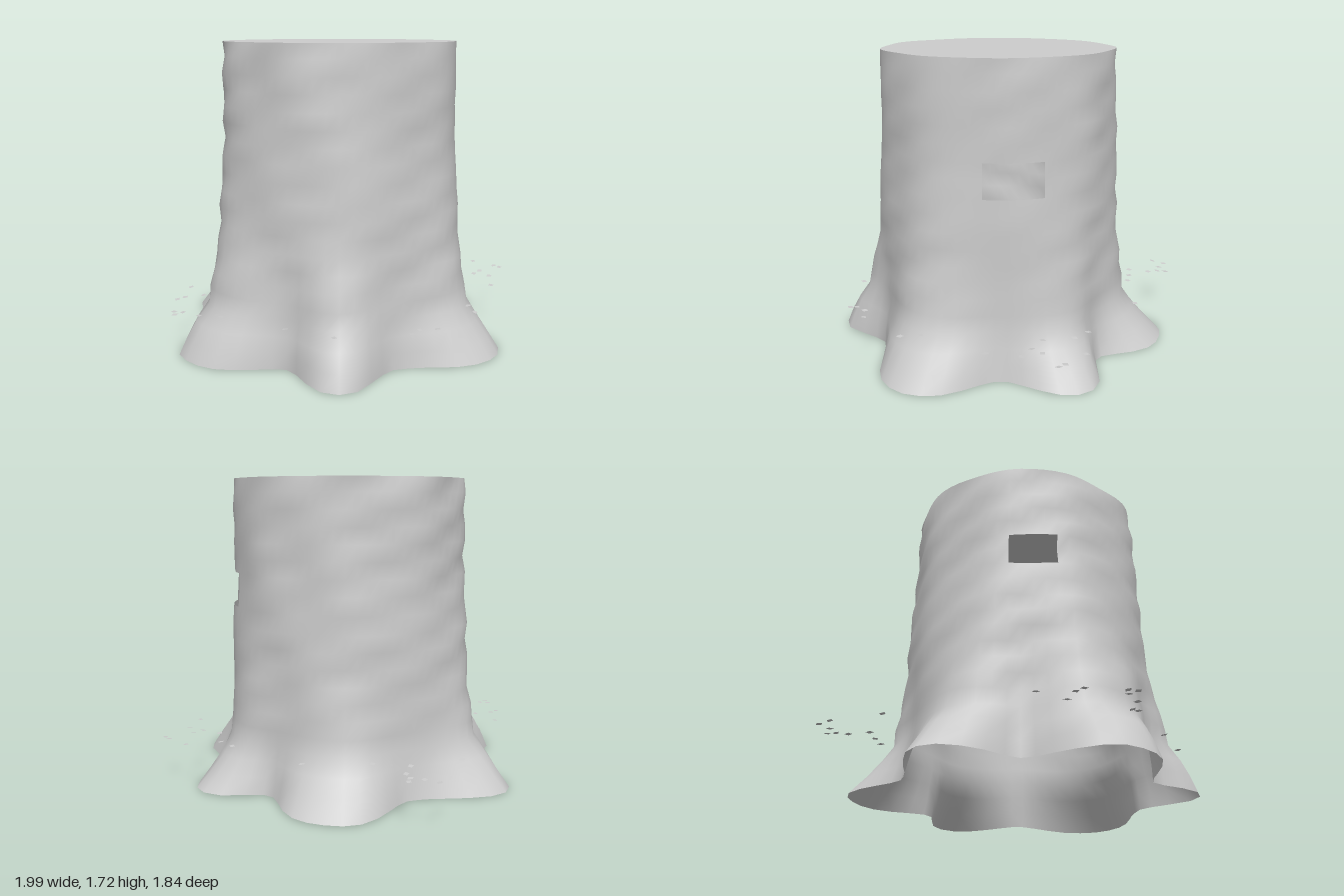
import * as THREE from 'three';

const COLUMNS = 64;
const ROWS = [0, 0.09, 0.18, 0.27, 0.36, 0.45, 0.54, 0.63, 0.72, 0.81, 0.9, 1.0, 1.1, 1.19, 1.28, 1.37, 1.46, 1.55, 1.64, 1.72];

// Outline of the root flare on the ground (x, z)
const ROOTS = [
  1, 0.11, 0.96, 0.24, 0.87, 0.33, 0.74, 0.4, 0.62, 0.45, 0.52, 0.53, 0.48, 0.65, 0.47, 0.78,
  0.43, 0.88, 0.32, 0.93, 0.2, 0.88, 0.1, 0.79, 0, 0.74, -0.1, 0.77, -0.25, 0.85, -0.41, 0.89,
  -0.55, 0.85, -0.65, 0.78, -0.69, 0.66, -0.68, 0.55, -0.64, 0.36, -0.65, 0.24, -0.78, 0.19,
  -0.9, 0.12, -0.99, 0.01, -1, -0.09, -0.93, -0.2, -0.8, -0.28, -0.65, -0.36, -0.55, -0.43,
  -0.51, -0.55, -0.5, -0.7, -0.43, -0.86, -0.35, -0.9, -0.21, -0.93, -0.08, -0.9, 0, -0.84,
  0.08, -0.75, 0.16, -0.67, 0.25, -0.69, 0.38, -0.78, 0.52, -0.79, 0.64, -0.71, 0.65, -0.6,
  0.645, -0.42, 0.64, -0.3, 0.75, -0.22, 0.93, -0.09, 0.98, 0,
];

// Missing patches of bark: column and row ranges
const HOLES = [
  { c0: 56, c1: 61, y0: 1.0, y1: 1.19 },
  { c0: 25, c1: 29, y0: 1.1, y1: 1.28 },
];

// Loose wood chips around the trunk (x, z)
const CHIPS = [
  -0.69, -0.83, -0.83, -0.78, -0.75, -0.77, -0.68, -0.78, -0.64, -0.73, -0.85, -0.7, -0.62, -0.61,
  -0.83, -0.4, -0.43, -0.66, -0.1, -0.81, 0.39, -0.7, 0.49, -0.66, 0.59, -0.52, 0.64, -0.78,
  0.79, -0.73, 0.83, -0.71, 0.73, -0.58, 0.71, -0.51, 0.81, -0.5, 0.86, -0.32, 0.82, 0.09,
  0.88, 0.18, 0.76, 0.5, 0.68, 0.55, 0.66, 0.62, 0.68, 0.65, 0.31, 0.82, 0.03, 0.81,
  -0.49, 0.81, -0.4, 0.76, -0.37, 0.78, -0.65, 0.81, -0.6, 0.8, -0.62, 0.85, -0.65, 0.51,
  -0.73, 0.58, -0.75, 0.63, -0.8, 0.41, -0.52, -0.64,
];

const TURN = Math.PI * 2;
const rootPolar = [];
for (let i = 0; i < ROOTS.length; i += 2) {
  const a = (Math.atan2(ROOTS[i + 1], ROOTS[i]) + TURN) % TURN;
  rootPolar.push([a, Math.hypot(ROOTS[i], ROOTS[i + 1])]);
}
rootPolar.sort((p, q) => p[0] - q[0]);

function rootRadius(angle) {
  const n = rootPolar.length;
  let k = rootPolar.findIndex((p) => p[0] > angle);
  if (k < 0) k = n;
  const [a0, r0] = k > 0 ? rootPolar[k - 1] : [rootPolar[n - 1][0] - TURN, rootPolar[n - 1][1]];
  const [a1, r1] = k < n ? rootPolar[k] : [rootPolar[0][0] + TURN, rootPolar[0][1]];
  return r0 + ((r1 - r0) * (angle - a0)) / (a1 - a0);
}

// How much of the root flare remains at each height
const FADE = [[0, 1], [0.27, 0.36], [0.45, 0.26], [0.63, 0.14], [0.9, 0.08], [1.2, 0.03], [1.72, 0]];
function flare(y, angle) {
  const k = Math.max(1, FADE.findIndex((f) => f[0] >= y));
  const [y0, f0] = FADE[k - 1];
  const [y1, f1] = FADE[k];
  const t = (y - y0) / (y1 - y0);
  const side = 1 + 0.35 * Math.sin(angle) * Math.min(1, y / 0.27);
  return (f0 + (f1 - f0) * t) * side;
}

function barkPoint(column, y) {
  const a = ((column % COLUMNS) / COLUMNS) * TURN;
  const top = 0.66 + 0.01 * Math.cos(a) + 0.025 * Math.sin(a) + 0.006 * Math.sin(9 * a);
  const bumps = 0.008 * Math.sin(4 * a + 9 * y) * Math.sin(17 * y + 3 * Math.sin(2 * a))
    + 0.005 * Math.sin(27 * y + 7 * a);
  const swell = 0.012 * Math.sin(Math.PI * Math.min(1, y / 1.72));
  const r = top + (rootRadius(a) - top) * flare(y, a) + swell + bumps * Math.min(1, y / 0.5);
  return [r * Math.cos(a), y, r * Math.sin(a)];
}

function geometryFrom(positions, index) {
  const g = new THREE.BufferGeometry();
  g.setAttribute('position', new THREE.Float32BufferAttribute(positions, 3));
  g.setIndex(index);
  g.computeVertexNormals();
  return g;
}

// Open bark shell with the missing patches left out
function barkGeometry() {
  const positions = [];
  const index = [];
  for (const y of ROWS) for (let c = 0; c < COLUMNS; c++) positions.push(...barkPoint(c, y));
  for (let r = 0; r < ROWS.length - 1; r++) {
    for (let c = 0; c < COLUMNS; c++) {
      const open = HOLES.some((h) => c >= h.c0 && c < h.c1 && ROWS[r] >= h.y0 && ROWS[r] < h.y1);
      if (open) continue;
      const a = r * COLUMNS + c;
      const b = r * COLUMNS + ((c + 1) % COLUMNS);
      index.push(a, a + COLUMNS, b, b, a + COLUMNS, b + COLUMNS);
    }
  }
  return geometryFrom(positions, index);
}

// Flat sawn top
function topGeometry() {
  const y = ROWS[ROWS.length - 1];
  const positions = [0, y, 0];
  const index = [];
  for (let c = 0; c < COLUMNS; c++) {
    positions.push(...barkPoint(c, y));
    index.push(0, 1 + ((c + 1) % COLUMNS), 1 + c);
  }
  return geometryFrom(positions, index);
}

export function createModel() {
  const group = new THREE.Group();
  group.name = 'treeStump';
  const wood = new THREE.MeshStandardMaterial({ color: 0xcccccc, side: THREE.DoubleSide });
  wood.name = 'paleGrey';

  const add = (name, geometry, parent = group) => {
    const mesh = new THREE.Mesh(geometry, wood);
    mesh.name = name;
    parent.add(mesh);
    return mesh;
  };
  add('bark', barkGeometry());
  add('sawnTop', topGeometry());

  // Thin diamond chips, each turned a little differently
  const chips = new THREE.Group();
  chips.name = 'woodChips';
  group.add(chips);
  const diamond = new THREE.CircleGeometry(0.022, 4).rotateX(-Math.PI / 2).scale(0.75, 1, 1);
  for (let i = 0; i < CHIPS.length; i += 2) {
    const chip = add('woodChip', diamond, chips);
    chip.position.set(CHIPS[i], 0.26, CHIPS[i + 1]);
    chip.rotation.set(0.1 * Math.sin(i * 3), 0.6 * Math.sin(i * 1.7), 0.1 * Math.cos(i * 5));
  }
  return group;
}
